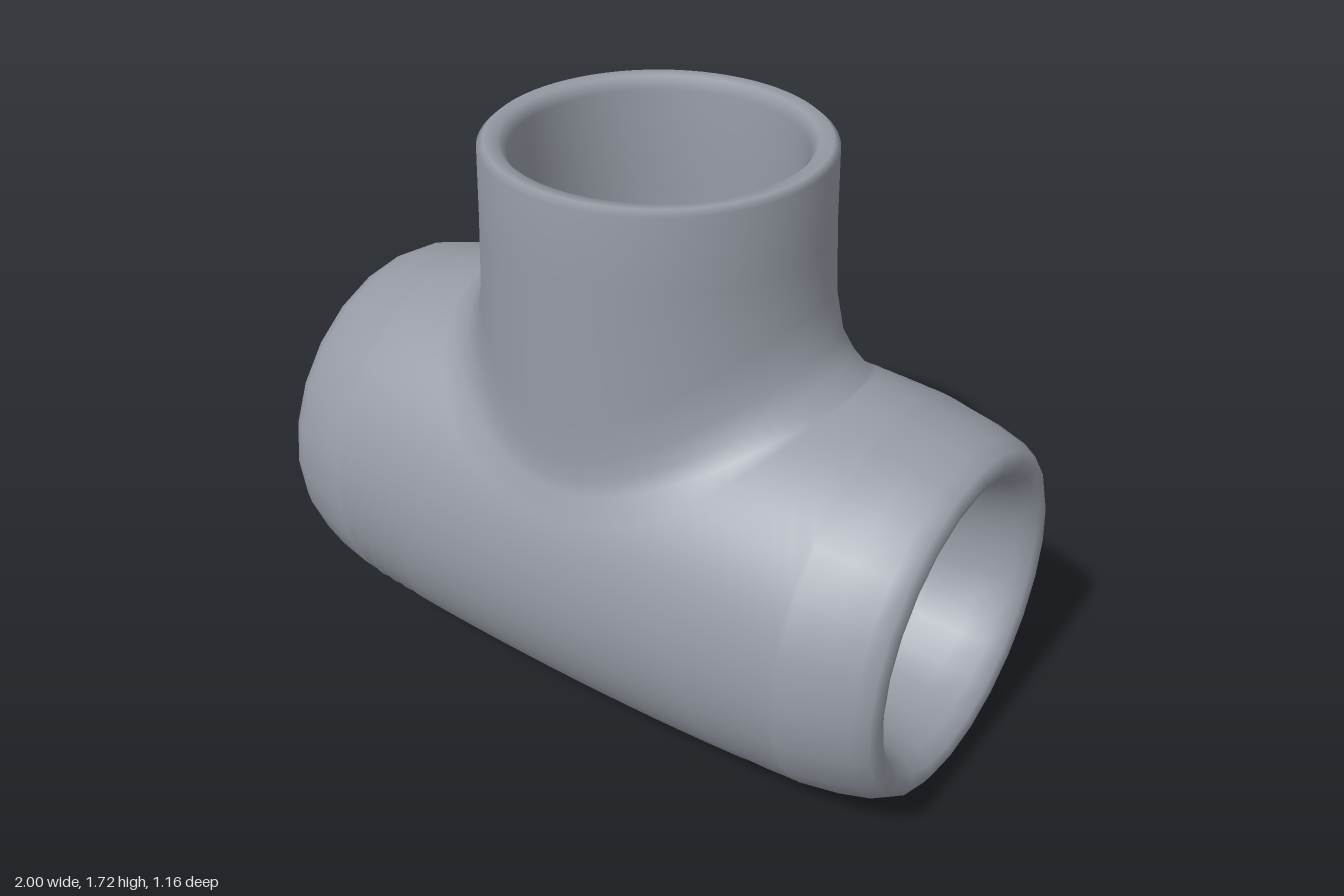
import * as THREE from 'three';
import { mergeVertices } from 'three/addons/utils/BufferGeometryUtils.js';

const AXIS = 0.58;   // height of the main pipe's axis
const A = 0.75;      // half length of the main pipe without its end collars
const AROUND = 24, ALONG = 12, STEPS = 16;
const CORNER = Math.PI / 3;   // angle round the branch that meets a border corner

const outerR = x => 0.58 - 0.025 * (x / A) ** 2;
const boreR = x => 0.31 + 0.04 * (x / A) ** 2;
const onPipe = (x, theta, r) => [x, AXIS + r * Math.cos(theta), r * Math.sin(theta)];

// Branch openings: half widths in x and z, with straight sides at z = +-maxZ
const outerHole = { ax: 0.6, az: 0.49, maxZ: 0.49, radius: outerR };
const boreHole = { ax: 0.38, az: 0.385, maxZ: 0.28, radius: boreR };

// Columns run around the branch; each ends on the border of the unrolled pipe (x, theta)
function makeColumns() {
  const cols = [];
  const side = (n, from, to, border) => {
    for (let i = 0; i < n; i++) {
      const t = i / n, [x, theta] = border(t * 2 - 1);
      cols.push({ phi: from + t * (to - from), x, theta });
    }
  };
  const PI = Math.PI;
  side(AROUND, -CORNER, CORNER, u => [A, u * PI]);
  side(ALONG, CORNER, PI - CORNER, u => [-u * A, PI]);
  side(AROUND, PI - CORNER, PI + CORNER, u => [-A, -u * PI]);
  side(ALONG, PI + CORNER, 2 * PI - CORNER, u => [u * A, -PI]);
  cols.push(cols[0]);
  return cols;
}

// Point on the wall of the main pipe, t = 0 at the branch hole, t = 1 at the border
function wallPoint(c, t, { ax, az, maxZ, radius }) {
  const hx = ax * Math.cos(c.phi);
  const hz = THREE.MathUtils.clamp(az * Math.sin(c.phi), -maxZ, maxZ);
  const hTheta = Math.asin(hz / radius(hx));
  const x = hx + (c.x - hx) * t;
  return onPipe(x, hTheta + (c.theta - hTheta) * t, radius(x));
}

// Adds a grid of quads between rows of points
function addGrid(out, rows, flip = false) {
  for (let i = 0; i < rows.length - 1; i++) {
    for (let j = 0; j < rows[i].length - 1; j++) {
      const a = rows[i][j], b = rows[i][j + 1], c = rows[i + 1][j], d = rows[i + 1][j + 1];
      const tris = flip ? [a, c, b, b, c, d] : [a, b, c, b, d, c];
      tris.forEach(p => out.push(...p));
    }
  }
}

export function createModel() {
  const group = new THREE.Group();
  group.name = 'pipeTee';
  const cols = makeColumns();
  const positions = [];
  const rows = [];

  const wallRow = (t, hole) => rows.push(cols.map(c => wallPoint(c, t, hole)));
  // Ring of the branch at a fixed height
  const ring = (r, y) => rows.push(cols.map(c => [r * Math.cos(c.phi), y, r * Math.sin(c.phi)]));
  // Ring that follows the hole's saddle curve, raised above it
  const saddle = (ax, az, lift, hole) => rows.push(cols.map(c =>
    [ax * Math.cos(c.phi), wallPoint(c, 0, hole)[1] + lift, az * Math.sin(c.phi)]));

  // Bore of the main pipe, then up the inside of the branch
  for (let i = STEPS; i >= 0; i--) wallRow(i / STEPS, boreHole);
  saddle(0.382, 0.36, 0.1, boreHole);
  saddle(0.383, 0.38, 0.22, boreHole);
  ring(0.385, 1.4);
  ring(0.387, 1.68);
  // Rounded branch rim
  ring(0.41, 1.712);
  ring(0.447, 1.715);
  ring(0.464, 1.7);
  // Outside of the branch with its fillet, then the outside of the main pipe
  ring(0.468, 1.5);
  saddle(0.481, 0.47, 0.2, outerHole);
  saddle(0.51, 0.474, 0.09, outerHole);
  saddle(0.55, 0.48, 0.04, outerHole);
  for (let i = 0; i <= STEPS; i++) wallRow(i / STEPS, outerHole);
  addGrid(positions, rows);

  // Rounded end collars, from the outer wall round the lip into the bore
  const collar = [[A, outerR(A)], [0.86, 0.535], [0.945, 0.51], [0.985, 0.487], [1, 0.46],
    [0.99, 0.425], [0.95, 0.395], [0.87, 0.37], [A, boreR(A)]];
  for (const s of [1, -1]) {
    const ends = collar.map(([x, r]) => Array.from({ length: AROUND + 1 }, (_, j) =>
      onPipe(s * x, (j / AROUND * 2 - 1) * Math.PI, r)));
    addGrid(positions, ends, s < 0);
  }

  // Weld everything into one smooth skin
  let geometry = new THREE.BufferGeometry();
  geometry.setAttribute('position', new THREE.Float32BufferAttribute(positions, 3));
  geometry = mergeVertices(geometry, 1e-4);
  geometry.computeVertexNormals();
  const body = new THREE.Mesh(geometry, new THREE.MeshStandardMaterial({ color: 0x959aa4 }));
  body.name = 'teeBody';
  group.add(body);
  return group;
}
